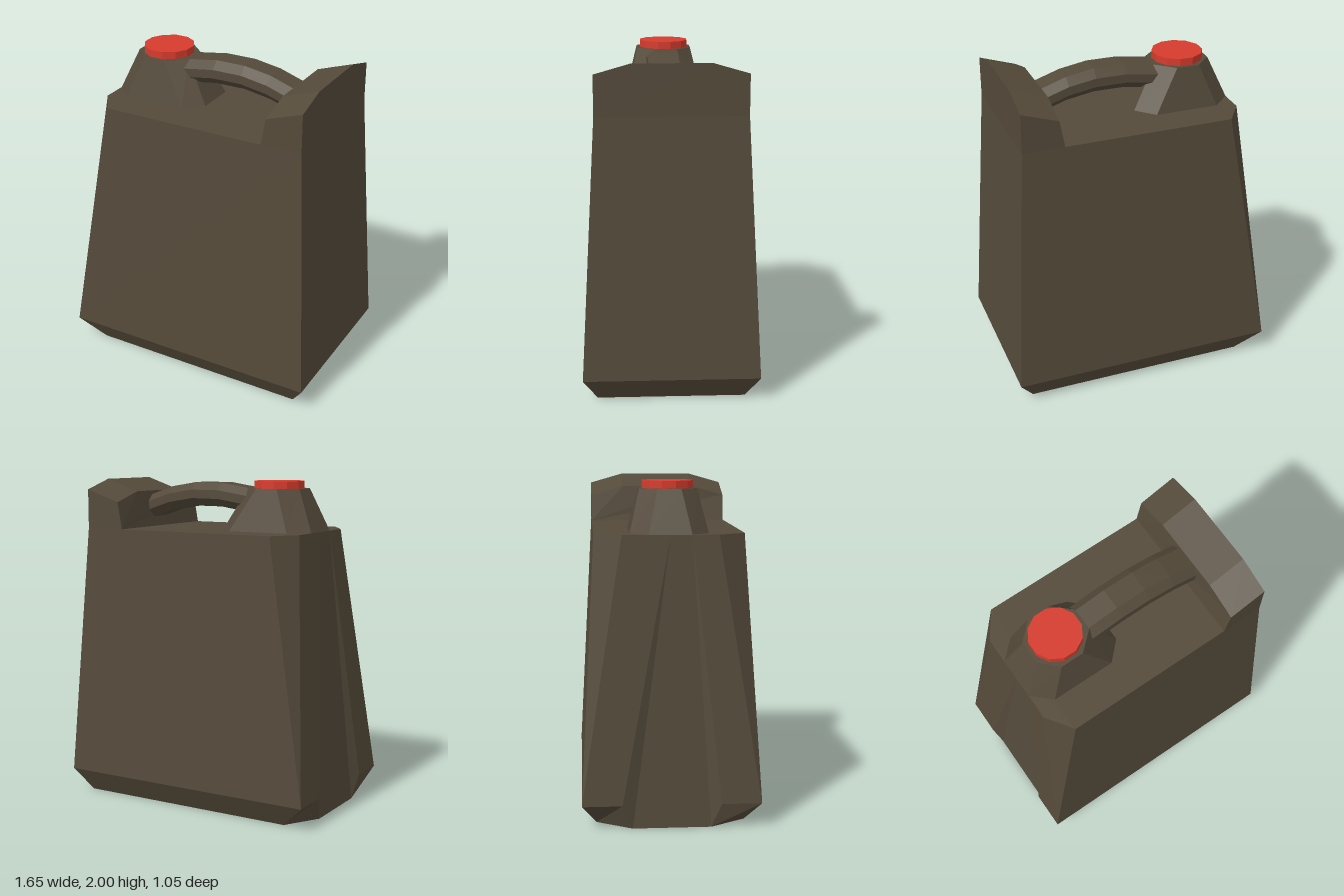
import * as THREE from 'three';

// Flat-faced geometry from convex polygons wound counter-clockwise
function fromPolygons(polys) {
  const pos = [];
  for (const p of polys)
    for (let i = 1; i < p.length - 1; i++) pos.push(...p[0], ...p[i], ...p[i + 1]);
  const g = new THREE.BufferGeometry();
  g.setAttribute('position', new THREE.Float32BufferAttribute(pos, 3));
  g.computeVertexNormals();
  return g;
}

// Skin a series of rings and close both ends
function loft(rings) {
  const polys = [[...rings[0]].reverse(), rings[rings.length - 1]];
  for (let r = 0; r < rings.length - 1; r++) {
    const lo = rings[r], hi = rings[r + 1];
    lo.forEach((p, i) => {
      const j = (i + 1) % lo.length;
      polys.push([p, lo[j], hi[j], hi[i]]);
    });
  }
  return fromPolygons(polys);
}

const m = ([x, y, z]) => [x, y, -z];

function bodyGeometry() {
  // +z half: A = right corner, B = inner edge of raised end, C and D = chamfered left corner
  const A0 = [0.73, 0, 0.44], A1 = [0.825, 0.145, 0.525], A2 = [0.73, 1.7, 0.44];
  const A3 = [0.73, 1.94, 0.44], A4 = [0.73, 2, 0.23];
  const B2 = [0.475, 1.7, 0.44], B3 = [0.505, 1.865, 0.44], B4 = [0.505, 1.925, 0.23];
  const C0 = [-0.67, 0, 0.44], C1 = [-0.825, 0.145, 0.525], C2 = [-0.56, 1.7, 0.44];
  const D0 = [-0.8, 0, 0.23], D1 = [-0.825, 0.145, 0.29], D2 = [-0.67, 1.7, 0.28];
  const T = [-0.67, 1.7, 0], U = [-0.67, 1.7, 0.125];

  const half = [
    [C0, A0, A1, C1], [C1, A1, A2, B2, C2],   // broad side
    [B2, A2, A3, B3], [B3, A3, A4, B4],       // raised end
    [D0, C0, C1, D1], [C1, C2, D2], [D1, C1, D2], // chamfered corner
  ];
  const mirrored = half.map((p) => p.map(m).reverse());
  const middle = [
    [C0, D0, m(D0), m(C0), m(A0), A0],        // base
    [A0, m(A0), m(A1), A1], [A1, m(A1), m(A2), A2],
    [A2, m(A2), m(A3), m(A4), A4, A3],        // right end
    [C2, B2, m(B2), m(C2), m(D2), D2],        // shoulder
    [m(B2), B2, B3, B4, m(B4), m(B3)], [B4, A4, m(A4), m(B4)],
    [D1, D2, U], [m(D1), T, m(D2)],           // recessed left panel
    [m(D0), D0, T], [D0, D1, U], [D0, U, T], [m(D1), m(D0), T],
  ];
  return fromPolygons([...half, ...mirrored, ...middle]);
}

// Octagonal ring for the neck, counter-clockwise from above
function neckRing(y, x0, x1, x2, x3, zIn, zOut) {
  const side = [[x0, y, zIn], [x1, y, zOut], [x2, y, zOut], [x3, y, zIn]];
  return [...side, ...side.map(m).reverse()];
}

// Octagonal handle section standing at x
function handleRing([x, y]) {
  const side = [[0.115, -0.025], [0.115, 0.028], [0.065, 0.073]];
  const pts = [[-0.065, -0.073], [-0.115, -0.025], [-0.115, 0.028], [-0.065, 0.073],
    ...side.reverse(), [0.065, -0.073]];
  // counter-clockwise seen from +x
  return pts.map(([z, dy]) => [x, y + dy, z]);
}

export function createModel() {
  const model = new THREE.Group();
  const plastic = new THREE.MeshStandardMaterial({ color: 0x544a3a });
  plastic.name = 'olive brown plastic';
  const red = new THREE.MeshStandardMaterial({ color: 0xd63b2d });
  red.name = 'red cap';

  const add = (name, geometry, material) => {
    const mesh = new THREE.Mesh(geometry, material);
    mesh.name = name;
    model.add(mesh);
    return mesh;
  };

  add('canisterBody', bodyGeometry(), plastic);

  add('neck', loft([
    neckRing(1.7, -0.67, -0.56, -0.17, -0.065, 0.125, 0.23),
    neckRing(1.955, -0.56, -0.46, -0.32, -0.21, 0.07, 0.17),
  ]), plastic);

  // Arched carrying handle from neck to raised end
  const arch = [[-0.22, 1.88], [-0.02, 1.91], [0.17, 1.911], [0.34, 1.883], [0.51, 1.827]];
  add('handle', loft(arch.map(handleRing)), plastic);

  // Twelve-sided screw cap
  const capGeometry = new THREE.CylinderGeometry(0.155, 0.155, 0.05, 12, 1, false, Math.PI / 12).toNonIndexed();
  capGeometry.computeVertexNormals();
  add('cap', capGeometry, red).position.set(-0.388, 1.975, 0);

  return model;
}
